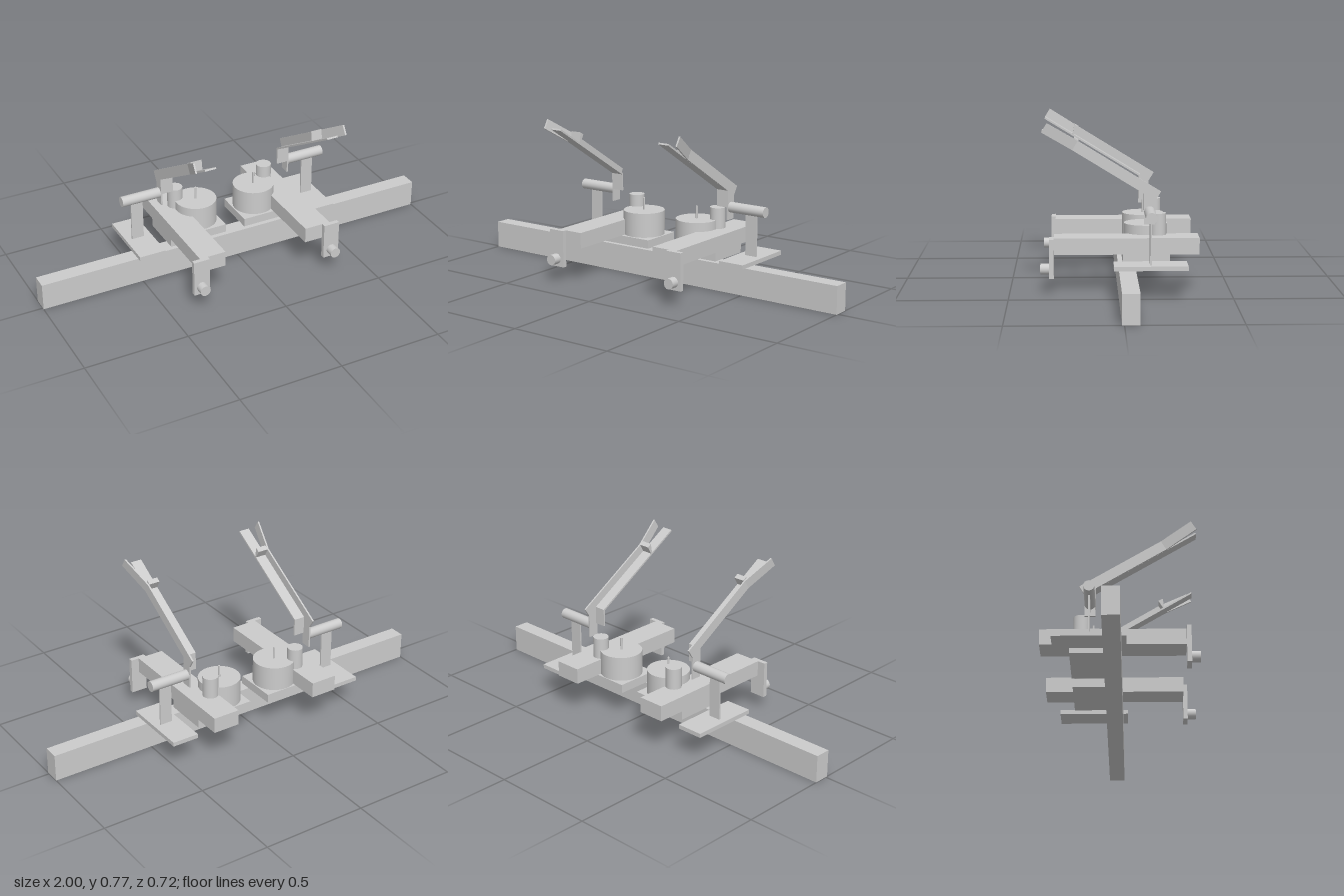
import * as THREE from 'three';

const material = new THREE.MeshStandardMaterial({ color: 0xcccccc });

function add(group, name, geometry, x = 0, y = 0, z = 0) {
  const mesh = new THREE.Mesh(geometry, material);
  mesh.name = name;
  mesh.position.set(x, y, z);
  group.add(mesh);
  return mesh;
}

// Box given by its extents; s mirrors it in x
function box(group, name, s, [x0, x1], [y0, y1], [z0, z1]) {
  return add(group, name, new THREE.BoxGeometry(x1 - x0, y1 - y0, z1 - z0),
    s * (x0 + x1) / 2, (y0 + y1) / 2, (z0 + z1) / 2);
}

// Outline in (z, y), given a thickness in x and centred on the plate's middle
function plate(points, width) {
  const shape = new THREE.Shape(points.map(([z, y]) => new THREE.Vector2(z, y)));
  const g = new THREE.ExtrudeGeometry(shape, { depth: width, bevelEnabled: false });
  return g.translate(0, 0, -width / 2).rotateY(-Math.PI / 2);
}

// Bent angle-section arm with a flared tip
function createArm(s) {
  const arm = new THREE.Group();
  arm.name = 'arm';
  add(arm, 'armWeb', plate([[-0.108, 0.31], [-0.108, 0.45], [0.215, 0.648], [0.19, 0.69],
    [-0.184, 0.46], [-0.158, 0.418], [-0.158, 0.31]], 0.008), s * 0.338);

  // Flange along the lower edge
  add(arm, 'armFlange', plate([[-0.108, 0.37], [-0.108, 0.45], [0.353, 0.732], [0.349, 0.739],
    [-0.116, 0.455], [-0.116, 0.37]], 0.054), s * 0.307);

  // Tip of the web, leaning outward along the arm
  const flare = plate([[0.215, 0.648], [0.353, 0.732], [0.328, 0.773], [0.19, 0.69]], 0.008);
  const p = flare.attributes.position;
  for (let i = 0; i < p.count; i++) {
    const along = p.getZ(i) * 0.853 + p.getY(i) * 0.522 - 0.522;
    p.setX(i, p.getX(i) + s * 0.24 * along);
  }
  flare.computeVertexNormals();
  add(arm, 'armFlare', flare, s * 0.338);

  // Small cross web at the start of the flare
  add(arm, 'armCrossWeb', plate([[0.209, 0.652], [0.215, 0.656], [0.207, 0.704],
    [0.186, 0.691]], 0.054), s * 0.307);
  return arm;
}

function createUnit(s) {
  const unit = new THREE.Group();
  unit.name = s > 0 ? 'leftUnit' : 'rightUnit';

  // Drum on its base plate
  box(unit, 'basePlate', s, [0.05, 0.34], [0.13, 0.172], [-0.225, -0.012]);
  add(unit, 'drum', new THREE.CylinderGeometry(0.1, 0.1, 0.118, 48), s * 0.156, 0.231, -0.122);
  add(unit, 'drumPin', new THREE.CylinderGeometry(0.005, 0.005, 0.06, 16), s * 0.156, 0.32, -0.122);

  // Long bar with hanging end plate and knob
  box(unit, 'longBar', s, [0.21, 0.34], [0.172, 0.247], [-0.36, 0.3]);
  box(unit, 'endPlate', s, [0.3, 0.38], [0.07, 0.247], [0.3, 0.321]);
  add(unit, 'knob', new THREE.CylinderGeometry(0.025, 0.025, 0.04, 32).rotateX(Math.PI / 2),
    s * 0.342, 0.108, 0.341);
  add(unit, 'smallCylinder', new THREE.CylinderGeometry(0.037, 0.037, 0.1, 32), s * 0.24, 0.298, -0.175);

  // Post carrying the pivot rod
  box(unit, 'postPlate', s, [0.39, 0.52], [0.131, 0.151], [-0.298, 0.032]);
  box(unit, 'post', s, [0.428, 0.488], [0.151, 0.36], [-0.137, -0.129]);
  add(unit, 'pivotRod', new THREE.CylinderGeometry(0.025, 0.025, 0.2, 32).rotateZ(Math.PI / 2),
    s * 0.435, 0.368, -0.133);

  unit.add(createArm(s));
  return unit;
}

export function createModel() {
  const model = new THREE.Group();
  model.name = 'pedalAssembly';
  box(model, 'mainBeam', 1, [-1, 1], [0, 0.131], [-0.066, 0.01]);
  for (const s of [1, -1]) model.add(createUnit(s));
  return model;
}
